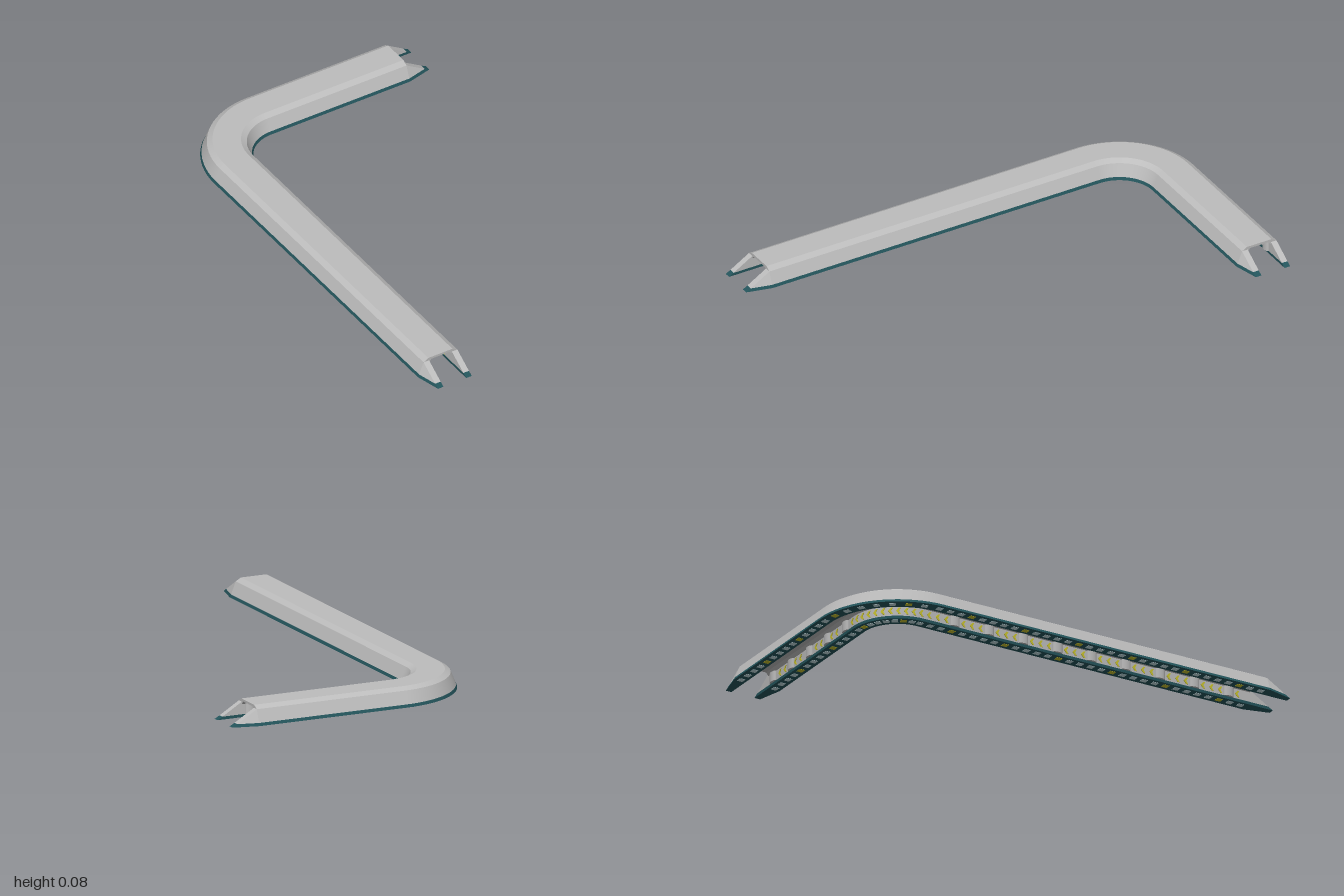
import * as THREE from 'three';

const R = 0.26, CX = -0.2, CZ = -0.634;          // bend radius and centre
const L1 = 1.524, ARC = R * Math.PI / 2, L3 = 0.658;
const END = L1 + ARC + L3, TIP = 0.108;
const UP = new THREE.Vector3(0, 1, 0);

const paint = (name, color) => {
  const m = new THREE.MeshStandardMaterial({ color });
  m.name = name;
  return m;
};

// Position, direction and sideways axis at distance s along the L-shaped path
function frame(s) {
  const a = THREE.MathUtils.clamp((s - L1) / R, 0, Math.PI / 2);
  const side = new THREE.Vector3(Math.cos(a), 0, Math.sin(a));
  const dir = new THREE.Vector3(Math.sin(a), 0, -Math.cos(a));
  const pos = new THREE.Vector3(CX, 0, CZ).addScaledVector(side, -R);
  if (s < L1) pos.addScaledVector(dir, s - L1);
  if (s > L1 + ARC) pos.addScaledVector(dir, s - L1 - ARC);
  return { pos, dir, side };
}

// Loft through sections [distance, profile of [offset, height]]:
// smooth along the path, sharp between the profile's edges
function loft(sections) {
  const v2 = sections[0][1].map(p => new THREE.Vector2(...p));
  const cw = THREE.ShapeUtils.isClockWise(v2);
  const rings = sections.map(([s, prof]) => {
    const f = frame(s);
    const ring = prof.map(([o, y]) => f.pos.clone().addScaledVector(f.side, o).setY(y));
    return cw ? ring.reverse() : ring;
  });
  if (cw) v2.reverse();
  const verts = [], index = [], n = v2.length, m = rings.length;
  for (let i = 0; i < n; i++) {
    const base = verts.length / 3;
    for (const r of rings) verts.push(...r[i].toArray(), ...r[(i + 1) % n].toArray());
    for (let k = 0; k < m - 1; k++) {
      const a = base + 2 * k;
      index.push(a, a + 2, a + 3, a, a + 3, a + 1);
    }
  }
  const faces = THREE.ShapeUtils.triangulateShape(v2, []);
  [rings[0], rings[m - 1]].forEach((r, e) => {
    const base = verts.length / 3;
    r.forEach(p => verts.push(...p.toArray()));
    for (const [a, b, c] of faces) index.push(base + a, base + (e ? c : b), base + (e ? b : c));
  });
  const g = new THREE.BufferGeometry();
  g.setAttribute('position', new THREE.Float32BufferAttribute(verts, 3));
  g.setIndex(index);
  g.computeVertexNormals();
  return g;
}

const stations = [0];
for (let i = 0; i <= 18; i++) stations.push(L1 + ARC * i / 18);
stations.push(END);

export function createModel() {
  const model = new THREE.Group();
  model.name = 'corneredChannel';
  const shell = paint('light grey', 0xbdbdbd);
  const teal = paint('dark teal', 0x24555c);
  const yellow = paint('yellow', 0xc9c22e);
  const pale = paint('pale blue', 0xc3dde2);

  const add = (name, geometry, material, parent = model) => {
    const mesh = new THREE.Mesh(geometry, material);
    mesh.name = name;
    parent.add(mesh);
    return mesh;
  };
  // Small part set on the path, x along it, y up, z sideways
  const place = (mesh, s, offset, y, flip = false) => {
    const f = frame(s);
    const k = flip ? -1 : 1;
    mesh.matrix.makeBasis(f.dir.clone().multiplyScalar(k), UP, f.side.clone().multiplyScalar(k));
    mesh.matrix.setPosition(f.pos.addScaledVector(f.side, offset).setY(y));
    mesh.matrix.decompose(mesh.position, mesh.quaternion, mesh.scale);
  };
  const sweep = profile => loft(stations.map(s => [s, profile]));

  // Bevelled cover
  add('cover', sweep([
    [0.08, 0.065], [0.057, 0.078], [-0.057, 0.078], [-0.08, 0.065], [-0.054, 0.065],
    [-0.054, 0.055], [-0.042, 0.068], [0.042, 0.068], [0.054, 0.055], [0.054, 0.065],
  ]), shell);

  // Walls and base strips with tapered tips at both ends
  const IN = 0.054, B = 0.001;
  for (const side of [-1, 1]) {
    const mir = p => p.map(([o, y]) => [o * side, y]);
    const wall = mir([[0.1012, 0.013], [0.08, 0.065], [IN, 0.065], [IN, 0.013]]);
    const wallTip = mir([[0.08, 0.013], [0.08, 0.013], [IN, 0.013], [IN, 0.013]]);
    const base = mir([[0.1065, B], [0.1012, 0.013], [IN, 0.013], [IN, B]]);
    const baseMid = mir([[0.0853, B], [0.08, 0.013], [IN, 0.013], [IN, B]]);
    const baseTip = mir([[0.08, B], [0.08, B], [IN, B], [IN, B]]);
    add('wall', sweep(wall), shell);
    add('baseStrip', sweep(base), teal);
    const t = 0.8 * TIP;
    add('startWallTip', loft([[-t, wallTip], [0, wall]].reverse().map(([s, p]) => [s, p])), shell).geometry =
      tip(wall, wallTip, 0, -t);
    add('endWallTip', tip(wall, wallTip, END, END + t), shell);
    add('startBaseTip', tip(base, baseMid, 0, -t), teal);
    add('endBaseTip', tip(base, baseMid, END, END + t), teal);
    add('startBasePoint', tip(baseMid, baseTip, -t, -TIP), teal);
    add('endBasePoint', tip(baseMid, baseTip, END + t, END + TIP), teal);
  }

  // Rounded ribs inside both straight legs
  const ribs = new THREE.Group();
  ribs.name = 'innerRibs';
  model.add(ribs);
  const ribShape = new THREE.CylinderGeometry(0.022, 0.022, 0.042, 16).scale(1, 1, 0.5);
  const spots = [];
  for (let s = 0.1; s < L1; s += 0.16) spots.push(s);
  for (let s = L1 + ARC + 0.06; s < END; s += 0.14) spots.push(s);
  for (const s of spots) for (const side of [-1, 1])
    place(add('rib', ribShape, shell, ribs), s, side * IN, 0.034);

  // Thin chevrons on the inner wall faces
  const marks = new THREE.Group();
  marks.name = 'chevrons';
  model.add(marks);
  const outline = new THREE.Shape([[-0.01, 0], [0.002, 0.014], [0.01, 0.014], [0.002, 0],
    [0.01, -0.014], [0.002, -0.014]].map(p => new THREE.Vector2(...p)));
  const chevron = new THREE.ExtrudeGeometry(outline, { depth: 0.002, bevelEnabled: false });
  for (let s = 0.06; s < END - 0.02; s += 0.04) {
    if (spots.some(r => Math.abs(r - s) < 0.028)) continue;
    place(add('chevron', chevron, yellow, marks), s, -IN, 0.034);
    place(add('chevron', chevron, yellow, marks), s, IN, 0.034, true);
  }

  // Small pads under the base strips
  const pads = new THREE.Group();
  pads.name = 'basePads';
  model.add(pads);
  const padShape = new THREE.BoxGeometry(0.026, 0.002, 0.024);
  let n = 0;
  for (let s = 0.03; s < END; s += 0.05, n++) for (const side of [-1, 1])
    place(add('pad', padShape, n % 5 === 2 ? yellow : pale, pads), s, side * 0.079, 0.001);

  return model;
}

// Tapered piece between two sections, always lofted forwards along the path
function tip(from, to, s0, s1) {
  if (s1 > s0) return loft([[s0, from], [s1, to]]);
  return loftBack(from, to, s0, s1);
}

// The narrow section comes first here, so its winding is taken from a slightly fuller copy
function loftBack(from, to, s0, s1) {
  const eased = to.map(([o, y], i) => [o + (from[i][0] - o) * 1e-3, y + (from[i][1] - y) * 1e-3]);
  return loft([[s1, eased], [s0, from]]);
}
